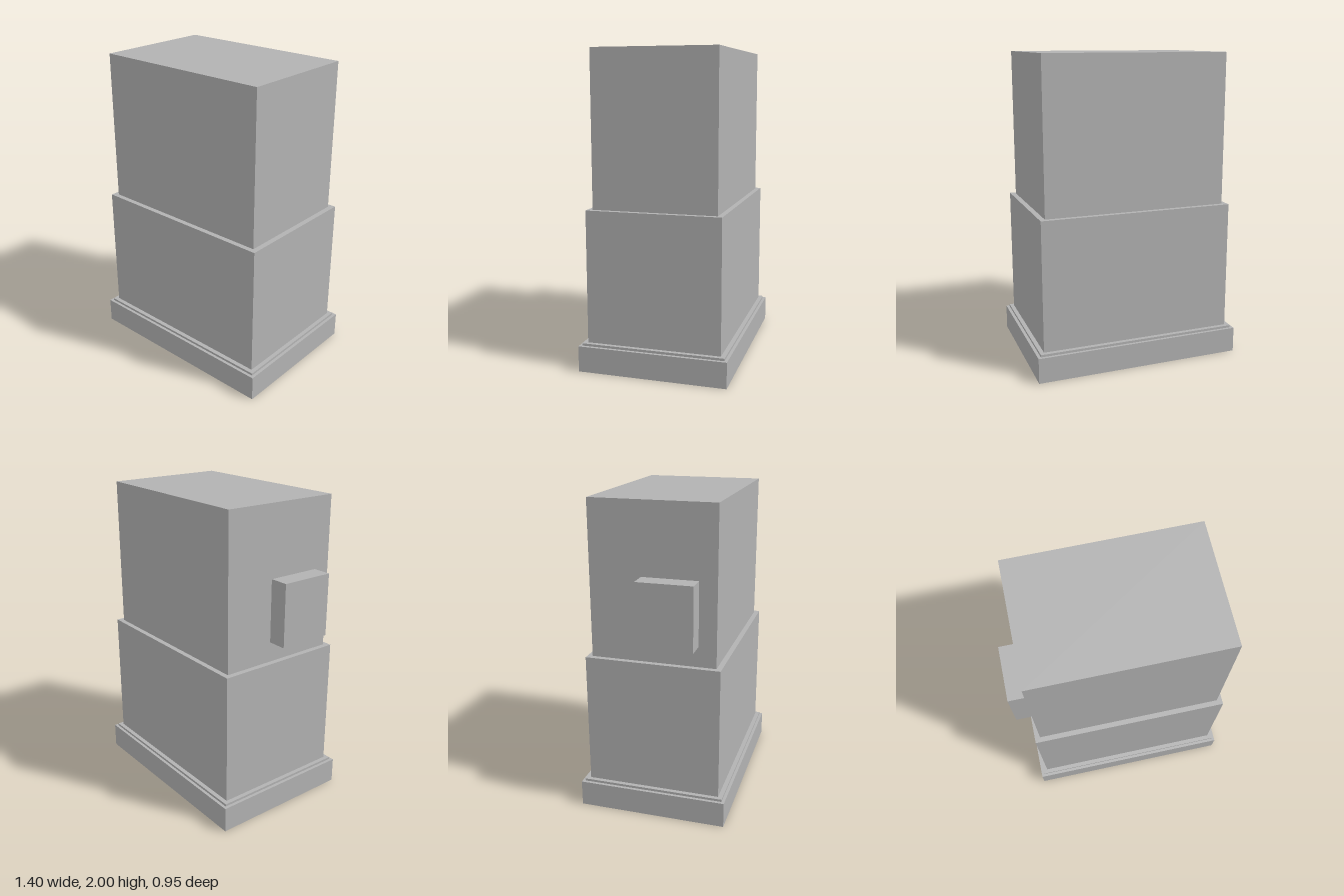
import * as THREE from 'three';

const CENTER_X = 0.02; // the tower sits slightly off centre to make room for the side box

export function createModel() {
  const model = new THREE.Group();
  model.name = 'steppedTower';
  const grey = new THREE.MeshStandardMaterial({ color: 0xb2b2b2 });
  grey.name = 'plain grey';

  // Box resting at height y0 and reaching y1
  function addBlock(name, width, depth, y0, y1, x = CENTER_X, z = 0) {
    const mesh = new THREE.Mesh(new THREE.BoxGeometry(width, y1 - y0, depth), grey);
    mesh.name = name;
    mesh.position.set(x, (y0 + y1) / 2, z);
    model.add(mesh);
  }

  // Stacked tiers, each narrower than the one below
  addBlock('basePlinth', 1.36, 0.95, 0, 0.165);
  addBlock('plinthLip', 1.32, 0.912, 0.165, 0.18);
  addBlock('lowerBody', 1.266, 0.856, 0.18, 1.022);
  addBlock('upperBody', 1.197, 0.79, 1.022, 2);

  // Box mounted on the right side
  addBlock('sideBox', 0.122, 0.352, 1.15, 1.55, -0.639, 0.108);

  return model;
}
